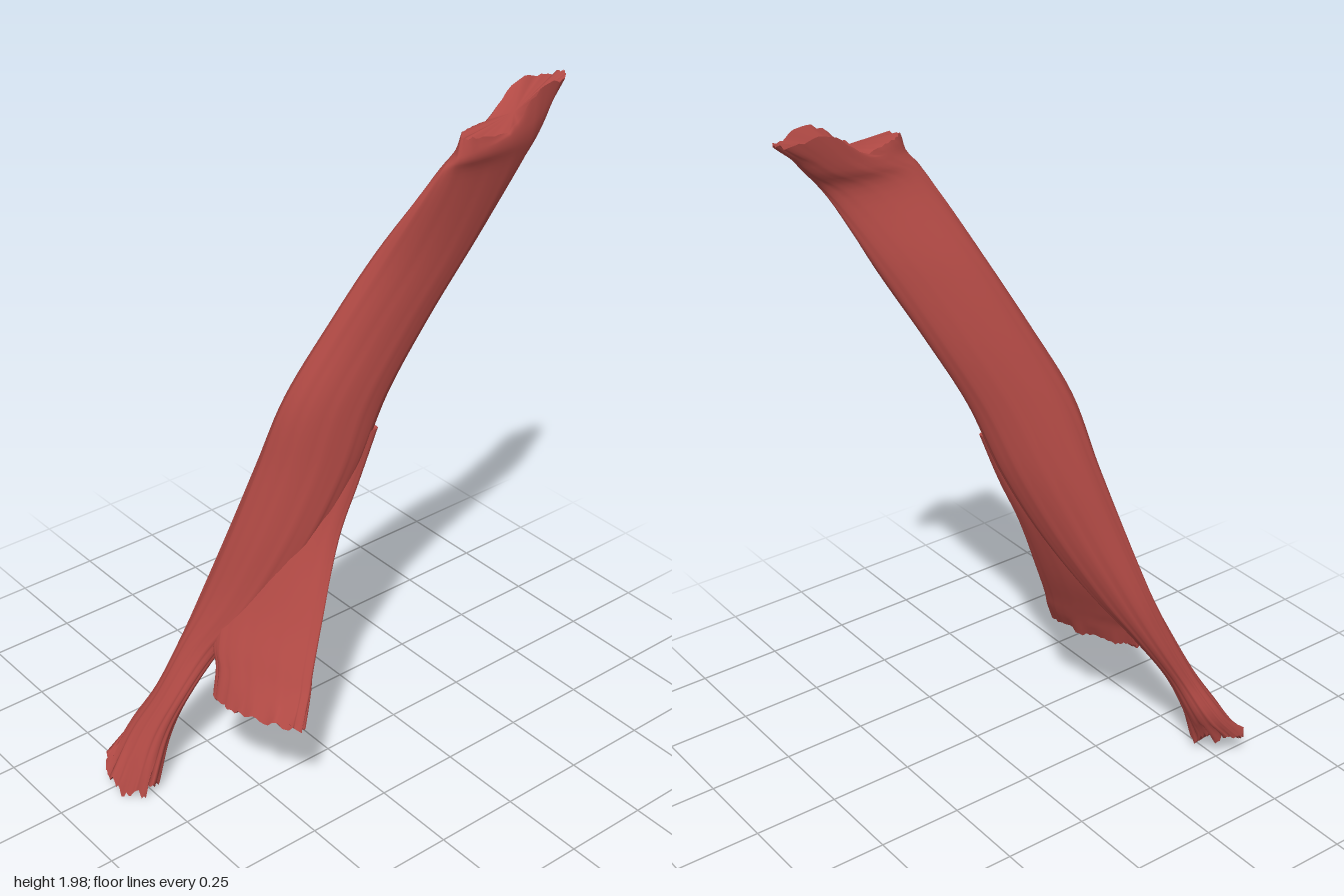
import * as THREE from 'three';

const SIDES = 72;

// small repeatable noise in -1..1
function noise(n) {
  const s = Math.sin(n * 127.1 + 11.7) * 43758.5453;
  return 2 * (s - Math.floor(s)) - 1;
}

// Lofts slanted ovals from top to bottom.
// Section: y, xMin, xMax, zMin, zMax, slant (degrees), y slope along x, y slope along z
function loft(sections, steps, topWave, bottomJag, seed) {
  const width = sections[0].length;
  const curve = new THREE.CubicInterpolant(
    sections.map((_, i) => i), sections.flat(), width, new Float32Array(width));
  const pos = [], index = [];
  const rings = (sections.length - 1) * steps;

  for (let i = 0; i <= rings; i++) {
    const [y, x0, x1, z0, z1, slant, kx, kz] = curve.evaluate(i / steps);
    const phi = THREE.MathUtils.degToRad(slant);
    const f = i / rings;
    const wave = topWave * Math.max(0, 1 - i / 4);
    const jag = bottomJag * Math.max(0, 1 - (rings - i) / 4);
    for (let j = 0; j < SIDES; j++) {
      const t = j / SIDES * Math.PI * 2;
      // lengthwise fibres, deeper toward the lower end
      const fibre = 1 - (0.01 + 0.04 * f * f) * (1 + Math.sin(13 * t + 2.5 * f + seed) * 0.6
        + Math.sin(23 * t - 3 * f) * 0.4);
      const u = Math.cos(t + phi);
      const dx = (x1 - x0) / 2 * Math.cos(t) * fibre;
      const dz = (z1 - z0) / 2 * u * fibre;
      const ragged = jag * (0.6 * noise(Math.floor(j / 3) + seed) + 0.4 * noise(j + seed * 7));
      const lobes = wave * (Math.cos(Math.PI * (1 - u) / 0.65) + 0.3 * noise(j + seed));
      pos.push((x0 + x1) / 2 + dx, y + kx * dx + kz * dz + ragged + lobes, (z0 + z1) / 2 + dz);
    }
  }
  for (let i = 0; i < rings; i++) {
    for (let j = 0; j < SIDES; j++) {
      const k = (j + 1) % SIDES;
      const a = i * SIDES + j, b = i * SIDES + k, c = a + SIDES, d = b + SIDES;
      index.push(a, c, b, b, c, d);
    }
  }
  // end caps with their own vertices, slightly hollow
  for (const [ring, dip, top] of [[0, -0.02, true], [rings, 0.02, false]]) {
    const base = pos.length / 3, mid = [0, 0, 0];
    for (let j = 0; j < SIDES; j++) {
      const o = (ring * SIDES + j) * 3;
      const p = [pos[o], pos[o + 1], pos[o + 2]];
      p.forEach((v, n) => { mid[n] += v / SIDES; });
      pos.push(...p);
    }
    pos.push(mid[0], mid[1] + dip, mid[2]);
    for (let j = 0; j < SIDES; j++) {
      const a = base + j, b = base + (j + 1) % SIDES, m = base + SIDES;
      if (top) index.push(m, a, b); else index.push(m, b, a);
    }
  }
  const geometry = new THREE.BufferGeometry();
  geometry.setAttribute('position', new THREE.Float32BufferAttribute(pos, 3));
  geometry.setIndex(index);
  geometry.computeVertexNormals();
  return geometry;
}

export function createModel() {
  const group = new THREE.Group();
  group.name = 'muscle';
  const red = new THREE.MeshStandardMaterial({ color: 0xb24a45 });
  red.name = 'muscle red';

  // main belly, from the upper attachment down into the narrow lower tail
  const belly = [
    [1.945, 0.18, 0.283, -0.587, -0.20, 60, 0, -0.27],
    [1.875, 0.187, 0.288, -0.50, -0.18, 78, 0, -0.1],
    [1.80, 0.187, 0.264, -0.425, -0.145, 108, 0, 0],
    [1.60, 0.097, 0.213, -0.325, -0.05, 124, 0, 0],
    [1.40, 0.025, 0.168, -0.22, 0.05, 122, 0, 0],
    [1.20, -0.038, 0.133, -0.12, 0.145, 120, 0, 0],
    [1.00, -0.09, 0.107, -0.045, 0.195, 122, 0, 0],
    [0.80, -0.138, 0.065, 0.05, 0.25, 122, 0, 0],
    [0.60, -0.187, -0.005, 0.165, 0.308, 118, 0, 0],
    [0.45, -0.214, -0.088, 0.265, 0.37, 105, 0, 0],
    [0.30, -0.243, -0.128, 0.36, 0.445, 92, 0, 0],
    [0.18, -0.285, -0.15, 0.41, 0.512, 92, -0.1, 0],
    [0.05, -0.30, -0.145, 0.465, 0.59, 105, -0.4, -0.2],
  ];
  const bellyMesh = new THREE.Mesh(loft(belly, 6, 0.02, 0.035, 1), red);
  bellyMesh.name = 'belly and lower tail';
  group.add(bellyMesh);

  // thin flap that leaves the belly and fans out sideways
  const flap = [
    [1.10, 0.03, 0.115, -0.08, 0.03, 135, 0, 0],
    [0.95, -0.01, 0.106, -0.025, 0.10, 142, 0, 0],
    [0.80, -0.06, 0.107, 0.042, 0.185, 148, 0, 0],
    [0.60, -0.115, 0.147, 0.13, 0.275, 152, 0, 0],
    [0.48, -0.10, 0.178, 0.185, 0.325, 152, 0, 0],
    [0.42, -0.07, 0.197, 0.21, 0.342, 150, 0, 0],
    [0.342, -0.058, 0.225, 0.25, 0.368, 142, 0, 0],
  ];
  const flapMesh = new THREE.Mesh(loft(flap, 6, 0, 0.014, 4), red);
  flapMesh.name = 'side flap';
  group.add(flapMesh);

  return group;
}
